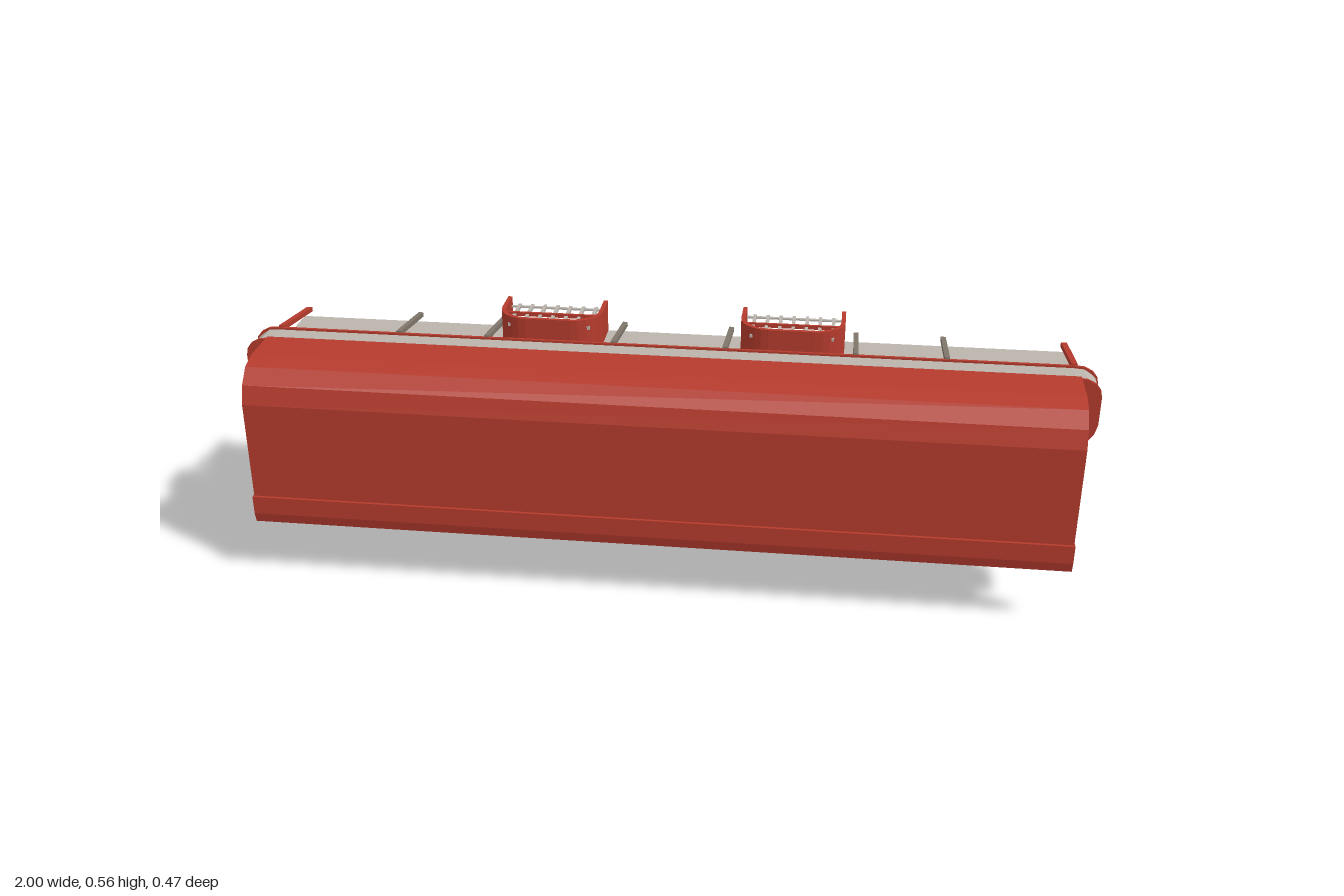
import * as THREE from 'three';

const mat = (name, color) => {
  const m = new THREE.MeshStandardMaterial({ color, side: THREE.DoubleSide, flatShading: true });
  m.name = name;
  return m;
};

export function createModel() {
  const grey = mat('concrete grey', 0xbab4ac);
  const red = mat('cladding red', 0xb53b2d);
  const blue = mat('seat blue', 0x0f4068);
  const brown = mat('steel brown grey', 0x80776b);
  const teal = mat('walkway teal', 0x2b8f99);
  const model = new THREE.Group();

  const add = (name, geo, m) => {
    const mesh = new THREE.Mesh(geo, m);
    mesh.name = name;
    model.add(mesh);
    return mesh;
  };
  // Box given by its limits on each axis
  const box = (name, m, x0, x1, y0, y1, z0, z1) => add(name,
    new THREE.BoxGeometry(x1 - x0, y1 - y0, z1 - z0)
      .translate((x0 + x1) / 2, (y0 + y1) / 2, (z0 + z1) / 2), m);
  const shapeOf = pts => new THREE.Shape(pts.map(p => new THREE.Vector2(p[0], p[1])));
  // Section of [z, y] points pushed from x0 to x1
  const prism = (name, m, pts, x0, x1) => add(name,
    new THREE.ExtrudeGeometry(shapeOf(pts), { depth: x1 - x0, bevelEnabled: false })
      .rotateY(-Math.PI / 2).translate(x1, 0, 0), m);

  const W = 0.95, back = -0.235;

  // End walls with shallow panels
  const wall = [[0.185, 0.482], [0.185, 0.208], [0.075, 0.208], [0.075, 0.248], [0.025, 0.248],
    [0.025, 0.235], [-0.183, 0.02], [-0.183, 0], [back, 0], [back, 0.482]];
  for (const s of [-1, 1]) {
    const a = s * W, b = s * (W - 0.012);
    prism('endWall', grey, wall, Math.min(a, b), Math.max(a, b));
    for (const [y0, y1] of [[0.21, 0.245], [0.25, 0.363], [0.368, 0.48]])
      box('endPanel', grey, Math.min(a, a + s * 0.003), Math.max(a, a + s * 0.003), y0, y1, 0.094, 0.166);
  }

  // Roof, front wall, upper floor and bottom kerb
  const I = W - 0.012;
  box('roof', grey, -I, I, 0.472, 0.482, back, 0.185);
  box('frontWall', grey, -I, I, 0.208, 0.472, 0.175, 0.185);
  box('upperFloor', grey, -I, I, 0.208, 0.218, 0.075, 0.175);
  box('upperLedge', grey, -I, I, 0.248, 0.256, 0.025, 0.08);
  box('bottomKerb', grey, -I, I, 0, 0.02, back, -0.183);

  // Row of boxes above the seating
  box('boxParapet', grey, -0.9, 0.9, 0.215, 0.272, 0.005, 0.025);
  box('boxTop', grey, -0.9, 0.9, 0.272, 0.28, 0.005, 0.06);
  for (let i = 0; i < 12; i++) {
    const x = -0.88 + i * 0.16;
    box('boxDivider', grey, x - 0.004, x + 0.004, 0.225, 0.3, -0.02, 0.06);
  }

  // Stepped seating: blue risers and grey treads
  const n = 9, z0 = -0.183, dz = 0.186 / n, dy = 0.195 / n;
  for (let i = 0; i < n; i++) {
    const z = z0 + i * dz, y = 0.02 + i * dy;
    box('seatRow', blue, -I, I, y, y + dy, z, z + 0.003);
    box('seatTread', grey, -I, I, y + dy - 0.002, y + dy, z + 0.003, z + dz + 0.003);
  }
  box('walkway', teal, -I, I, 0.115, 0.118, -0.082, -0.061);
  box('walkwayEdge', grey, -I, I, 0.122, 0.125, -0.082, -0.061);

  // Entrance passages through the seating
  const entrance = (x, zf, zb, y, h) => {
    const w = 0.039;
    prism('entranceBase', brown, [[zf, y], [zf, y + h], [zb, y]], x - w, x + w);
    for (const s of [-1, 1]) {
      const c = x + s * (w - 0.007);
      prism('entranceSide', brown,
        [[zb, y], [zb, y + 0.035], [zf, y + h + 0.022], [zf, y + h - 0.004]], c - 0.007, c + 0.007);
    }
    box('entranceHead', brown, x - w, x + w, y + h - 0.005, y + h + 0.014, zf - 0.012, zf);
    for (let i = 0; i < 5; i++) {
      const px = x + (i - 2) * 0.016;
      box('entranceRail', grey, px - 0.003, px + 0.003, y + h + 0.014, y + h + 0.022, zf - 0.01, zf - 0.005);
    }
  };
  for (const x of [-0.675, -0.245, 0.245, 0.675]) entrance(x, -0.121, -0.183, 0.02, 0.064);
  for (const x of [-0.465, -0.12, 0.12, 0.465]) entrance(x, -0.001, -0.062, 0.14, 0.07);

  // Curved front screen with a heavier bottom edge
  const outer = [[0.035, 0.538], [0.142, 0.538], [0.186, 0.526], [0.218, 0.493], [0.232, 0.45], [0.232, 0.21]];
  const inner = [[0.222, 0.21], [0.222, 0.447], [0.209, 0.487], [0.18, 0.517], [0.14, 0.528], [0.035, 0.528]];
  prism('frontScreen', red, [...outer, ...inner], -0.945, 0.95);
  prism('screenEdge', red, [[0.239, 0.214], [0.239, 0.17], [0.233, 0.146], [0.221, 0.146],
    [0.215, 0.17], [0.215, 0.214]], -0.947, 0.952);

  // Roof ribs, end bars and screen brackets
  const bar = [[-0.035, 0.538], [-0.035, 0.527], [back, 0.496], [back, 0.507]];
  const ribs = [-0.645, -0.43, -0.125, 0.14, 0.445, 0.655];
  for (const x of ribs) prism('roofRib', brown, bar, x - 0.006, x + 0.006);
  for (const x of [-0.935, 0.942]) prism('endBar', red, bar, x - 0.007, x + 0.007);
  for (const x of [-0.93, ...ribs, 0.93])
    for (const y of [0.244, 0.43]) box('screenBracket', brown, x - 0.007, x + 0.007, y, y + 0.016, 0.185, 0.223);

  // Roof beam: grey band between red rims, curling down at both ends
  const half = d => [[0.94, 0.534 - d], [0.965, 0.532 - d], [0.985 - d, 0.522 - d], [0.996 - d, 0.508],
    [1 - d, 0.49], [1 - d, 0.42], [0.993 - d, 0.395], [0.978 - d, 0.376 + d], [0.955, 0.366 + d],
    [0.951, 0.366 + d], [0.951, 0.484]];
  const beam = (name, m, d, za, zb) => {
    const h = half(d);
    const pts = [...h, ...h.map(([x, y]) => [-x, y]).reverse()];
    add(name, new THREE.ExtrudeGeometry(shapeOf(pts), { depth: zb - za, bevelEnabled: false })
      .translate(0, 0, za), m);
  };
  beam('roofBeam', grey, 0.005, -0.031, 0.032);
  beam('roofBeamRim', red, 0, -0.038, -0.031);
  beam('roofBeamRim', red, 0, 0.032, 0.039);

  // Rounded roof bays, open to the back, with gratings
  const bayPath = (w, front, r) => {
    const pts = [[-w, back]];
    for (let i = 0; i <= 6; i++) {
      const a = Math.PI - (i / 6) * Math.PI / 2;
      pts.push([-w + r + r * Math.cos(a), front - r + r * Math.sin(a)]);
    }
    return [...pts, ...pts.map(([x, z]) => [-x, z]).reverse()];
  };
  for (const x of [-0.293, 0.293]) {
    const ring = [...bayPath(0.125, -0.094, 0.07), ...bayPath(0.115, -0.104, 0.06).reverse()];
    add('roofBay', new THREE.ExtrudeGeometry(shapeOf(ring), { depth: 0.079, bevelEnabled: false })
      .rotateX(Math.PI / 2).translate(x, 0.561, 0), red);
    box('bayBeam', red, x - 0.115, x + 0.115, 0.537, 0.547, -0.174, -0.168);
    for (let i = -3; i <= 3; i++)
      box('bayGrating', grey, x + i * 0.032 - 0.004, x + i * 0.032 + 0.004, 0.535, 0.543, back, -0.106);
    for (const z of [-0.225, -0.14])
      box('bayCrossBar', grey, x - 0.115, x + 0.115, 0.537, 0.541, z - 0.004, z + 0.004);
  }

  return model;
}
